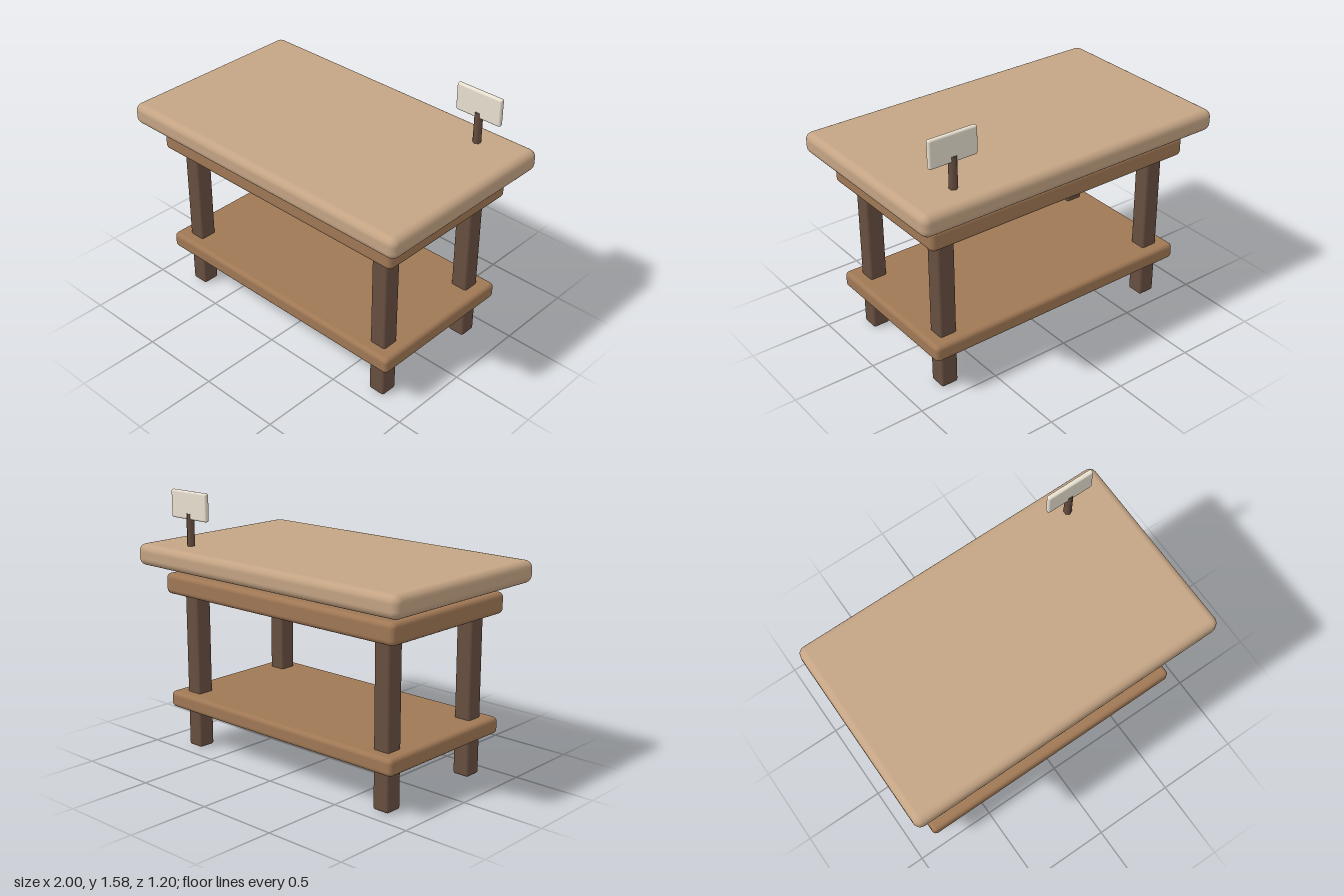
import * as THREE from 'three';
import { RoundedBoxGeometry } from 'three/addons/geometries/RoundedBoxGeometry.js';

const material = (color) => new THREE.MeshStandardMaterial({ color });

export function createModel() {
  const model = new THREE.Group();
  model.name = 'table';

  const paleWood = material(0xc4a484);
  const midWood = material(0xa07855);
  const darkWood = material(0x674e40);
  const cream = material(0xe8e0d0);

  const add = (name, geometry, mat, x, y, z) => {
    const mesh = new THREE.Mesh(geometry, mat);
    mesh.name = name;
    mesh.position.set(x, y, z);
    model.add(mesh);
  };
  // Soft-edged board placed by its bottom height
  const board = (name, w, h, d, radius, mat, x, bottom, z) =>
    add(name, new RoundedBoxGeometry(w, h, d, 3, radius), mat, x, bottom + h / 2, z);

  // Stacked slabs
  board('tableTop', 2, 0.13, 1.2, 0.045, paleWood, 0, 1.13, 0);
  board('apron', 1.77, 0.125, 0.97, 0.03, midWood, 0, 0.955, 0);
  board('lowerShelf', 1.75, 0.1, 0.96, 0.027, midWood, 0, 0.245, 0);

  // Four legs running from the floor up to the table top
  for (const [side, x] of [['Left', 0.745], ['Right', -0.745]]) {
    for (const [end, z] of [['front', 0.355], ['back', -0.355]]) {
      board(`${end}${side}Leg`, 0.107, 1.13, 0.107, 0.015, darkWood, x, 0, z);
    }
  }

  // Small blank sign on a six-sided post
  const post = new THREE.CylinderGeometry(0.024, 0.024, 0.2, 6);
  add('signPost', post, darkWood, 0.705, 1.35, -0.43);
  board('signPanel', 0.3, 0.166, 0.03, 0.012, cream, 0.705, 1.415, -0.43);

  return model;
}
